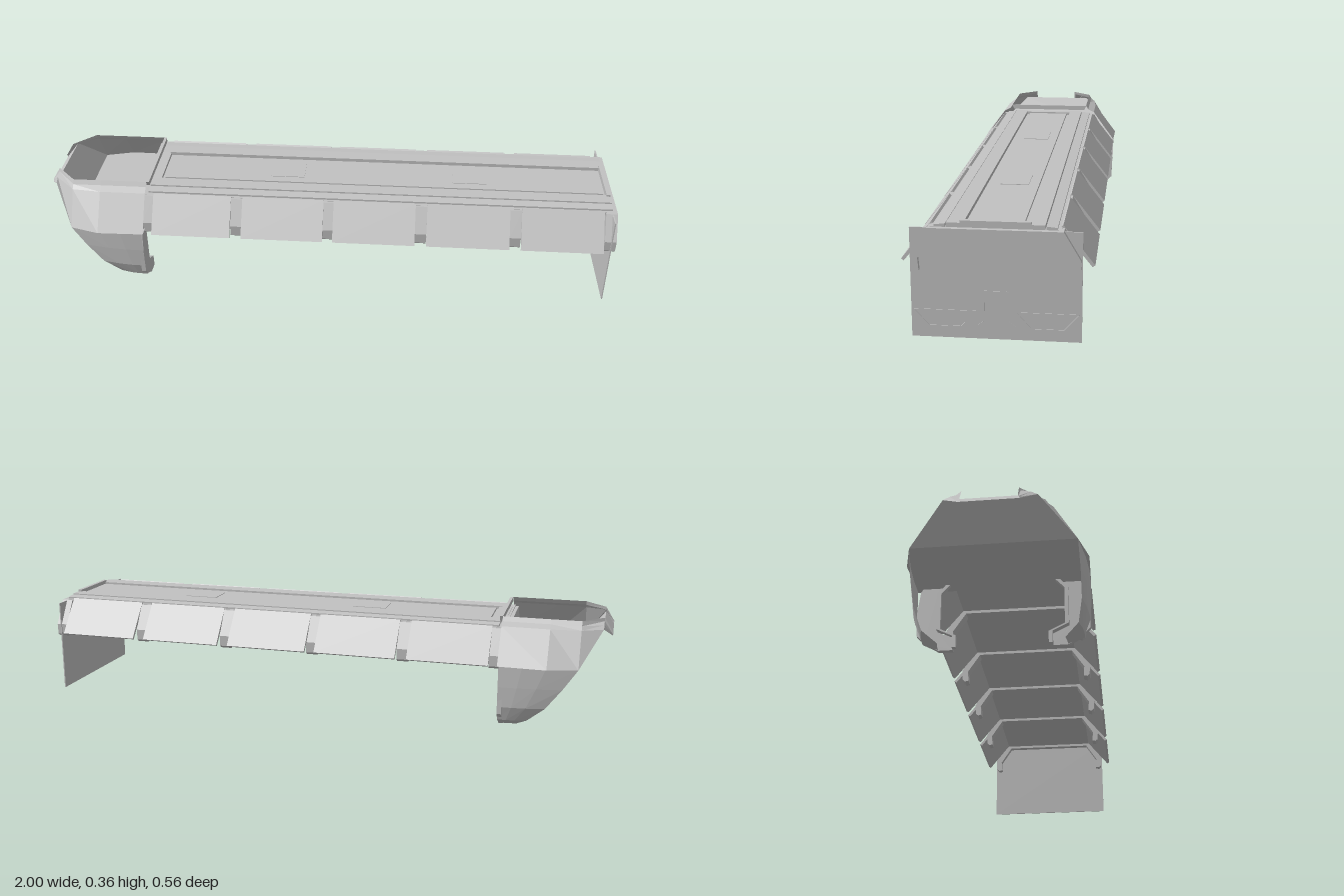
import * as THREE from 'three';

const grey = new THREE.MeshStandardMaterial({ color: 0xc2c2c2, side: THREE.DoubleSide, flatShading: true });
grey.name = 'plain grey';

export function createModel() {
  const model = new THREE.Group();
  model.name = 'coveredWalkway';

  const add = (geometry, name) => {
    const mesh = new THREE.Mesh(geometry, grey);
    mesh.name = name;
    model.add(mesh);
    return mesh;
  };
  const box = (name, x0, x1, y0, y1, z0, z1) =>
    add(new THREE.BoxGeometry(x1 - x0, y1 - y0, z1 - z0), name)
      .position.set((x0 + x1) / 2, (y0 + y1) / 2, (z0 + z1) / 2);

  // Extrude a [z, y] outline along x
  const extrudeX = (name, outline, x0, x1) => {
    const shape = new THREE.Shape(outline.map(([z, y]) => new THREE.Vector2(-z, y)));
    const geo = new THREE.ExtrudeGeometry(shape, { depth: x1 - x0, bevelEnabled: false });
    geo.rotateY(Math.PI / 2);
    geo.translate(x0, 0, 0);
    add(geo, name);
  };
  const mirrored = (half) => [...half, ...half.map(([z, y]) => [-z, y]).reverse()];
  const flip = (outline, s) => outline.map(([z, y]) => [z * s, y]);

  // Surface through rows of [x, y, z] points
  const loft = (name, rows, reverse) => {
    const n = rows[0].length, index = [];
    for (let i = 0; i < rows.length - 1; i++) {
      for (let j = 0; j < n - 1; j++) {
        const a = i * n + j, b = a + 1, c = a + n, d = c + 1;
        if (reverse) index.push(a, c, b, b, c, d);
        else index.push(a, b, c, b, d, c);
      }
    }
    const geo = new THREE.BufferGeometry();
    geo.setAttribute('position', new THREE.Float32BufferAttribute(rows.flat(2), 3));
    geo.setIndex(index);
    geo.computeVertexNormals();
    return add(geo, name);
  };

  // Roof deck, centre panel and long rails
  box('roofDeck', -0.64, 0.985, 0.318, 0.329, -0.183, 0.183);
  box('centrePanel', -0.59, 0.965, 0.325, 0.337, -0.077, 0.077);
  box('rearCrossbar', 0.972, 0.985, 0.322, 0.348, -0.1, 0.1);
  box('frontCrossbar', -0.63, -0.6, 0.322, 0.34, -0.1, 0.1);
  for (const s of [-1, 1]) {
    extrudeX('innerRail', flip([[0.09, 0.325], [0.09, 0.341], [0.138, 0.341], [0.138, 0.325]], s), -0.63, 0.985);
    extrudeX('outerRail', flip([[0.141, 0.325], [0.141, 0.338], [0.172, 0.335], [0.172, 0.325]], s), -0.63, 0.985);
  }

  // Flush roof hatches
  for (const x of [-0.15, 0.5]) box('roofHatch', x - 0.06, x + 0.06, 0.336, 0.339, -0.045, 0.045);

  // Sloping side panels between the ribs
  const panels = [[-0.61, -0.335], [-0.295, -0.01], [0.025, 0.31], [0.35, 0.635], [0.675, 0.955]];
  const panelOutline = [[0.185, 0.335], [0.275, 0.22], [0.267, 0.215], [0.177, 0.326]];
  for (const [x0, x1] of panels) {
    for (const s of [-1, 1]) extrudeX('sidePanel', flip(panelOutline, s), x0, x1);
  }

  // Arched ribs with feet below the panel edges
  const ribOuter = [[0.215, 0.203], [0.228, 0.2], [0.237, 0.208], [0.239, 0.245], [0.19, 0.328]];
  const ribInner = [[-0.173, 0.308], [-0.218, 0.24], [-0.215, 0.203]];
  const ribOutline = [...ribOuter, ...flip(ribOuter, -1).reverse(), ...ribInner.slice(0, 2).reverse(),
    ...flip(ribInner.slice(0, 2), -1)];
  for (const x of [-0.628, -0.315, 0.008, 0.33, 0.655, 0.98]) {
    extrudeX('archRib', ribOutline, x - 0.02, x + 0.02);
  }

  // Flat end wall
  box('endWall', 0.982, 0.986, 0, 0.325, -0.242, 0.242);

  // Thin seams on the end wall, as [z, y] paths
  const seam = (name, points) => {
    for (let i = 0; i < points.length - 1; i++) {
      const [z0, y0] = points[i], [z1, y1] = points[i + 1];
      const bar = add(new THREE.BoxGeometry(0.002, 0.002, Math.hypot(z1 - z0, y1 - y0)), name);
      bar.position.set(0.987, (y0 + y1) / 2, (z0 + z1) / 2);
      bar.rotation.x = -Math.atan2(y1 - y0, z1 - z0);
    }
  };
  for (const s of [-1, 1]) {
    seam('wallVent', flip([[0.235, 0.083], [0.057, 0.083], [0.1, 0.035], [0.192, 0.035], [0.235, 0.083]], s));
  }
  seam('doorSeam', [[0.033, 0.013], [0.033, 0.144], [-0.03, 0.144], [-0.036, 0.14]]);
  seam('doorStep', [[0.052, 0.013], [0.052, 0.04], [0.036, 0.052]]);
  seam('doorStep', [[-0.035, 0.055], [-0.055, 0.04]]);

  // Hood roof: half sections [z, y] at stations along x, tapering into the nose
  const stations = [
    [-0.63, [[0.157, 0.363], [0.166, 0.348], [0.19, 0.336], [0.275, 0.22]]],
    [-0.8, [[0.157, 0.363], [0.166, 0.348], [0.19, 0.336], [0.278, 0.22]]],
    [-0.9, [[0.157, 0.363], [0.166, 0.348], [0.18, 0.336], [0.25, 0.22]]],
    [-0.97, [[0.085, 0.363], [0.09, 0.352], [0.12, 0.345], [0.14, 0.335]]],
    [-1, [[0.085, 0.315], [0.087, 0.312], [0.089, 0.308], [0.09, 0.304]]],
  ];
  stations[0][0] = -0.64;
  loft('hoodRoof', stations.map(([x, half]) => mirrored(half).map(([z, y]) => [x, y, z])), true);
  extrudeX('hoodRearLip', mirrored([[0.15, 0.346], [0.157, 0.363]]), -0.64, -0.63);

  // Hood cheeks: levels of [y, front x, rear z, front z]
  const levels = [[0.22, -0.9, 0.275, 0.25], [0.15, -0.853, 0.274, 0.253], [0.08, -0.8, 0.27, 0.252],
    [0.03, -0.742, 0.252, 0.238], [0.002, -0.705, 0.2, 0.195]];
  for (const s of [-1, 1]) {
    loft('hoodCheek', levels.map(([y, xf, zr, zf]) => [0, 0.3, 0.6, 1].map((t) => [
      THREE.MathUtils.lerp(-0.645, xf, t), y, s * (THREE.MathUtils.lerp(zr, zf, t * t) + 0.004 * t * (1 - t))])), s < 0);
  }

  // Arched frame closing the rear rim of the hood, and a stepped inner rim
  const frameOuter = [[0.2, 0], [0.245, 0.03], [0.27, 0.055], [0.272, 0.135], [0.262, 0.21], [0.18, 0.325]];
  const frameInner = [[0.125, 0.285], [0.205, 0.19], [0.205, 0.065], [0.155, 0.04], [0.155, 0]];
  const arch = (outer, inner) => [...outer, ...flip(outer, -1).reverse(),
    ...flip(inner, -1).reverse(), ...inner].filter(Boolean);
  const buildArch = (outer, inner) => [...outer, ...flip(outer, -1).reverse(),
    ...flip([...inner].reverse(), -1), ...inner];
  extrudeX('hoodFrame', buildArch(frameOuter, frameInner), -0.66, -0.645);
  const rimInner = frameInner.map(([z, y]) => [z - 0.012, y > 0.2 ? y - 0.008 : y]);
  extrudeX('hoodInnerRim', buildArch([...frameInner].reverse(), rimInner), -0.68, -0.665);

  return model;
}
